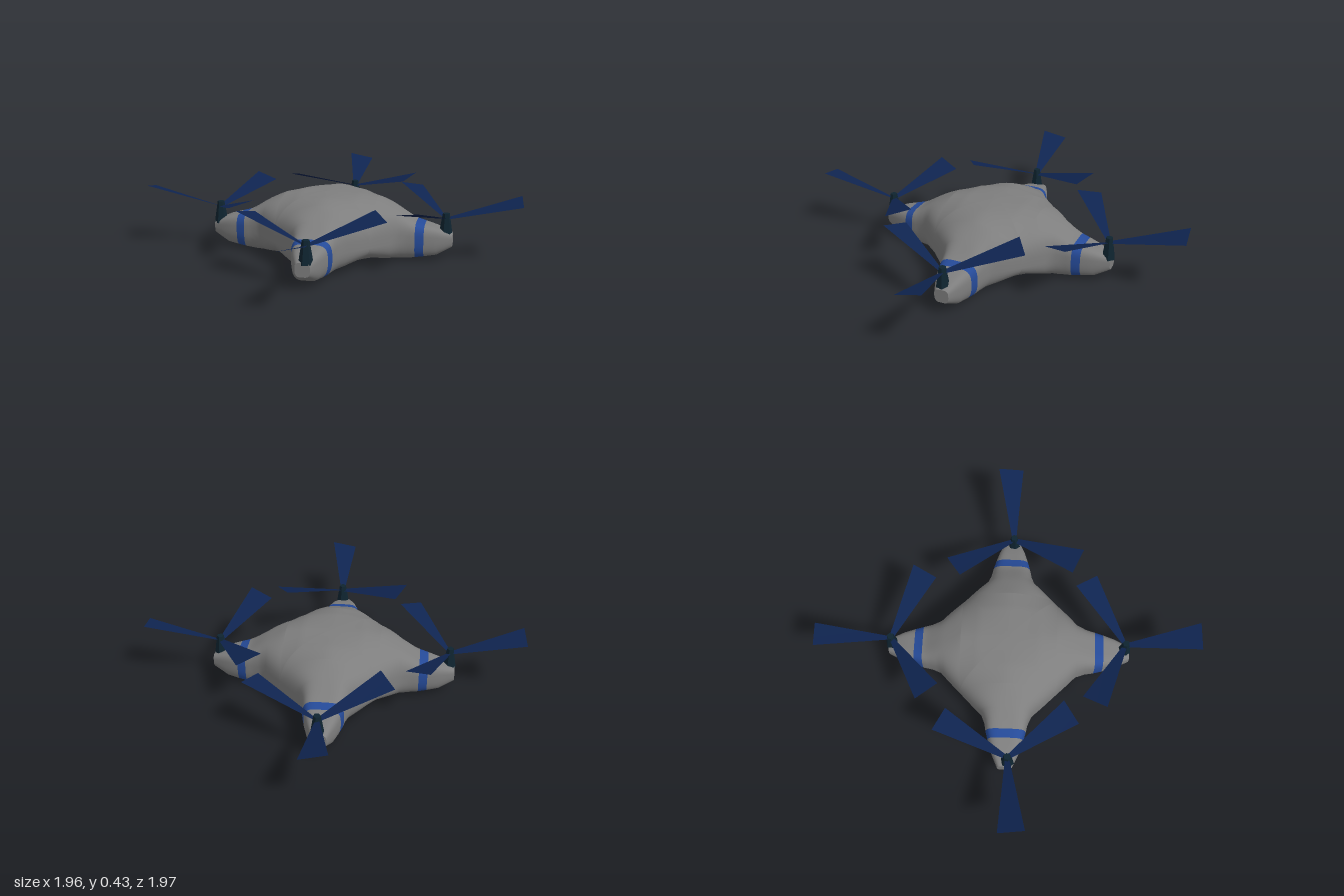
import * as THREE from 'three';
import { mergeVertices } from 'three/addons/utils/BufferGeometryUtils.js';

const mat = (name, color, side = THREE.FrontSide) => {
  const m = new THREE.MeshStandardMaterial({ color, side });
  m.name = name;
  return m;
};

// piecewise linear lookup in a list of [d, value]
function lookup(keys, d) {
  for (let i = 1; i < keys.length; i++) {
    const [d0, v0] = keys[i - 1], [d1, v1] = keys[i];
    if (d <= d1) return v0 + (v1 - v0) * (d - d0) / (d1 - d0);
  }
  return keys[keys.length - 1][1];
}

// hull measures along a diagonal, d = distance from the centre
const CORE = 0.318;
const WIDTH = [[CORE, CORE], [0.4, 0.235], [0.46, 0.17], [0.52, 0.145], [0.61, 0.127], [0.72, 0.092], [0.82, 0.048]];
const TOP = [[0, 0.43], [0.2, 0.422], [0.32, 0.4], [0.45, 0.335], [0.57, 0.258], [0.64, 0.24], [0.72, 0.22], [0.82, 0.18]];
const BOTTOM = [[0, 0], [0.5, 0.004], [0.62, 0.02], [0.72, 0.035], [0.82, 0.09]];
const POWER = [[0, 1.5], [CORE, 1.5], [0.58, 4.5], [0.82, 4.5]];
const BAND = [0.583, 0.64];
const MID = 0.137;
const ACROSS = 24;

const stations = [];
for (let i = 0; i <= 16; i++) stations.push(CORE * Math.sin(i / 16 * Math.PI / 2));
stations.push(0.34, 0.37, 0.4, 0.43, 0.46, 0.49, 0.52, 0.55, BAND[0], BAND[1], 0.68, 0.72, 0.77, 0.82);

// point of the hull in quadrant q, at distance d and t in -1..1 across
function hullPoint(q, d, t, upper) {
  const inner = d < CORE;
  const p = t * (inner ? d : lookup(WIDTH, d));
  const u = Math.min(1, inner ? Math.abs(p) * d / (CORE * CORE) : Math.abs(t));
  const bulge = Math.pow(Math.max(0, 1 - Math.pow(u, lookup(POWER, d))), upper ? 1 / 3 : 1 / 2.2);
  const y = MID + (lookup(upper ? TOP : BOTTOM, d) - MID) * bulge;
  const a = Math.PI / 4 + q * Math.PI / 2;
  return [d * Math.cos(a) - p * Math.sin(a), y, d * Math.sin(a) + p * Math.cos(a)];
}

const across = (j) => Math.sin((j / ACROSS - 0.5) * Math.PI);

// four lofted quadrants joined into one smooth shell, bands as material groups
function hullGeometry() {
  const pos = [], index = [];
  const geo = new THREE.BufferGeometry();
  const row = ACROSS + 1;
  for (let q = 0; q < 4; q++) {
    const base = pos.length / 3;
    for (const d of stations)
      for (const upper of [true, false])
        for (let j = 0; j <= ACROSS; j++) pos.push(...hullPoint(q, d, across(j), upper));
    for (let i = 0; i < stations.length - 1; i++) {
      const start = index.length;
      for (let side = 0; side < 2; side++)
        for (let j = 0; j < ACROSS; j++) {
          const a = base + (i * 2 + side) * row + j, c = a + 2 * row;
          if (side === 0) index.push(a, a + 1, c, a + 1, c + 1, c);
          else index.push(a, c, a + 1, a + 1, c, c + 1);
        }
      geo.addGroup(start, index.length - start, stations[i] === BAND[0] ? 1 : 0);
    }
  }
  geo.setAttribute('position', new THREE.Float32BufferAttribute(pos, 3));
  geo.setIndex(index);
  const merged = mergeVertices(geo, 1e-4);
  merged.computeVertexNormals();
  return merged;
}

// flat end face of an arm
function tipGeometry(q) {
  const d = stations[stations.length - 1], ring = [], pos = [];
  for (let j = 0; j < ACROSS; j++) ring.push(hullPoint(q, d, across(j), true));
  for (let j = ACROSS; j > 0; j--) ring.push(hullPoint(q, d, across(j), false));
  const a = Math.PI / 4 + q * Math.PI / 2;
  const centre = [d * Math.cos(a), MID, d * Math.sin(a)];
  ring.forEach((p, i) => pos.push(...centre, ...p, ...ring[(i + 1) % ring.length]));
  const geo = new THREE.BufferGeometry();
  geo.setAttribute('position', new THREE.Float32BufferAttribute(pos, 3));
  geo.computeVertexNormals();
  return geo;
}

// flaring, pitched and upswept blade pointing along +x
function bladeGeometry() {
  const geo = new THREE.BufferGeometry();
  geo.setAttribute('position', new THREE.Float32BufferAttribute([
    0.01, 0.277, 0.014, 0.49, 0.392, 0.086, 0.49, 0.428, -0.086, 0.01, 0.285, -0.014], 3));
  geo.setIndex([0, 1, 2, 0, 2, 3]);
  geo.computeVertexNormals();
  return geo;
}

export function createModel() {
  const model = new THREE.Group();
  model.name = 'quadcopter';
  const grey = mat('hull grey', 0x7e7e7e);
  const blue = mat('band blue', 0x254a98);
  const navy = mat('blade navy', 0x0f2450, THREE.DoubleSide);
  const teal = mat('hub dark teal', 0x0f2430);
  teal.flatShading = true;

  const add = (parent, name, geo, material) => {
    const mesh = new THREE.Mesh(geo, material);
    mesh.name = name;
    parent.add(mesh);
    return mesh;
  };

  // hull with arms and bands
  const body = new THREE.Group();
  body.name = 'body';
  body.position.set(0.015, 0, -0.01);
  add(body, 'hull', hullGeometry(), [grey, blue]);
  for (let q = 0; q < 4; q++) add(body, 'armTip', tipGeometry(q), grey);
  model.add(body);

  // rotors: x, z, angle of the first blade in degrees
  const hub = new THREE.CylinderGeometry(0.023, 0.047, 0.15, 6);
  const blade = bladeGeometry();
  const rotors = {
    backRightRotor: [-0.55, -0.55, 100],
    backLeftRotor: [0.585, -0.565, 70.5],
    frontLeftRotor: [0.555, 0.545, 40.5],
    frontRightRotor: [-0.53, 0.555, 11],
  };
  for (const [name, [x, z, angle]] of Object.entries(rotors)) {
    const rotor = new THREE.Group();
    rotor.name = name;
    rotor.position.set(x, 0, z);
    add(rotor, 'hub', hub, teal).position.y = 0.24;
    for (let k = 0; k < 3; k++)
      add(rotor, 'blade', blade, navy).rotation.y = -THREE.MathUtils.degToRad(angle + k * 120);
    model.add(rotor);
  }
  return model;
}
